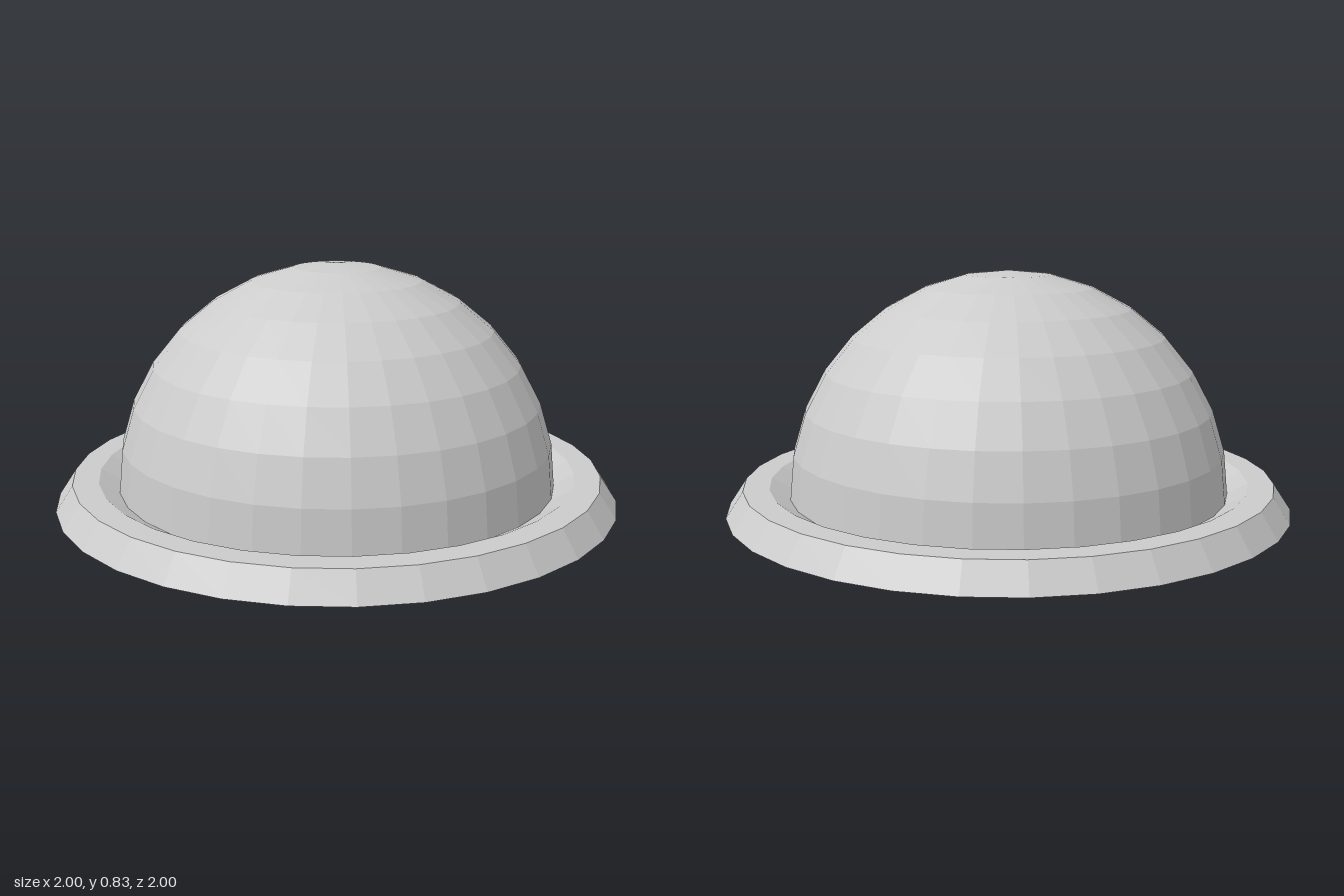
import * as THREE from 'three';

const SIDES = 32;

export function createModel() {
  const group = new THREE.Group();
  const material = new THREE.MeshStandardMaterial({ color: 0xcccccc, flatShading: true });

  const addLathe = (name, points) => {
    const profile = points.map(([r, y]) => new THREE.Vector2(r, y));
    const mesh = new THREE.Mesh(new THREE.LatheGeometry(profile, SIDES), material);
    mesh.name = name;
    group.add(mesh);
  };

  // Base: flat underside, bevelled outer edge, flat rim, slope down to the dome
  addLathe('baseRim', [[0, 0], [1, 0], [0.94, 0.09], [0.85, 0.09], [0.78, 0.05]]);

  // Dome: faceted hemisphere rising from the foot of the inner slope
  const radius = 0.78, baseY = 0.05, rings = 8;
  const dome = [];
  for (let i = 0; i <= rings; i++) {
    const a = (i / rings) * Math.PI / 2;
    dome.push([i === rings ? 0 : radius * Math.cos(a), baseY + radius * Math.sin(a)]);
  }
  addLathe('dome', dome);

  return group;
}
